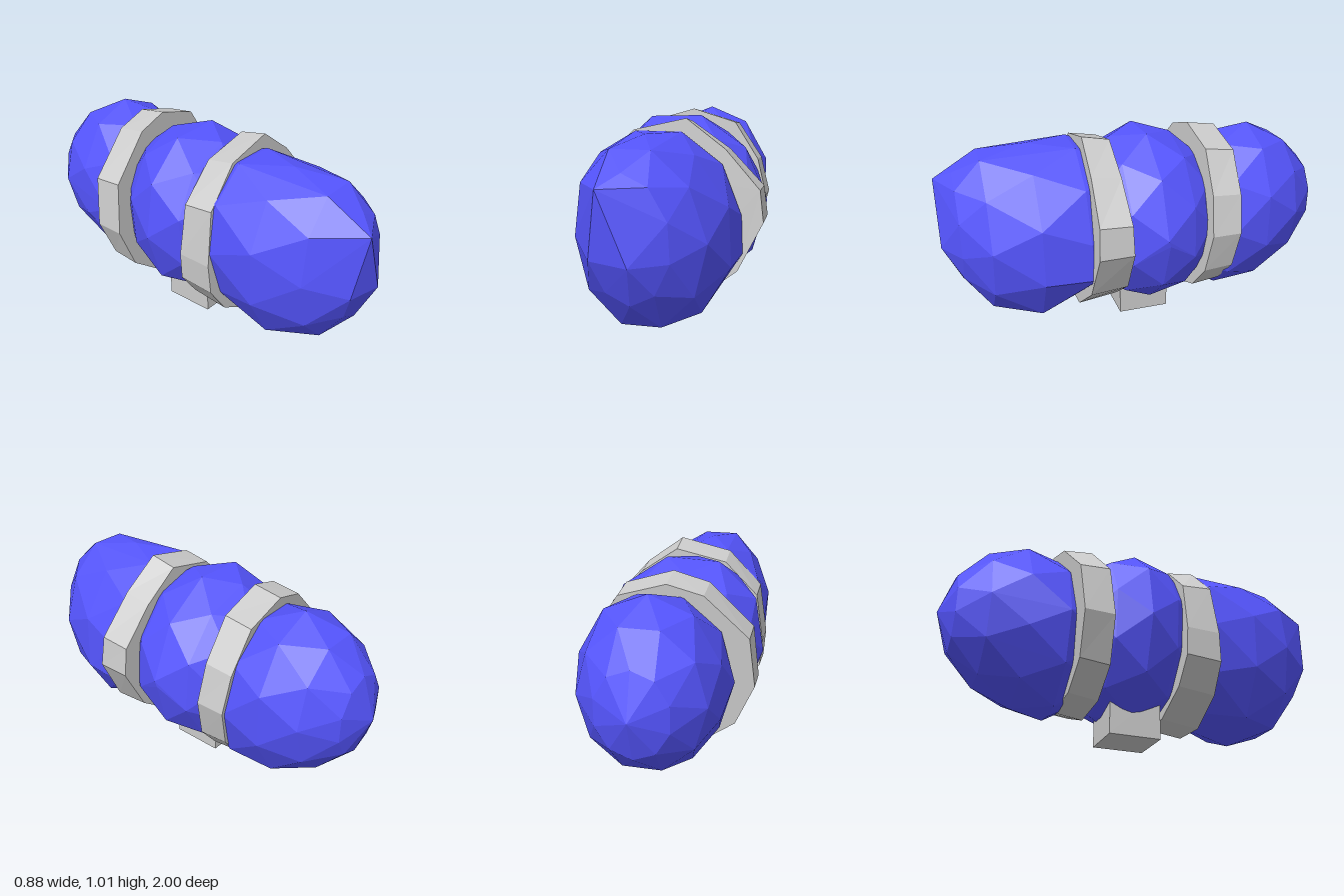
import * as THREE from 'three';
import { ConvexGeometry } from 'three/addons/geometries/ConvexGeometry.js';

const blue = new THREE.MeshStandardMaterial({ color: 0x5555ff, flatShading: true });
const grey = new THREE.MeshStandardMaterial({ color: 0xcccccc, flatShading: true });

// Faceted lobe: hull around staggered elliptical stations [z, cx, cy, rx, ry] plus single points;
// phase turns the stations (degrees), lean shifts the upper half sideways
function lobe(name, stations, singles, phase, lean) {
  const sides = 10;
  const points = singles.map((p) => new THREE.Vector3(...p));
  stations.forEach(([z, cx, cy, rx, ry], row) => {
    for (let i = 0; i < sides; i++) {
      const a = THREE.MathUtils.degToRad(phase) + ((i + (row % 2) / 2) / sides) * Math.PI * 2;
      const y = ry * 1.01 * Math.sin(a);
      points.push(new THREE.Vector3(cx + rx * 1.015 * Math.cos(a) + lean * Math.max(0, y), cy + y, z));
    }
  });
  const mesh = new THREE.Mesh(new ConvexGeometry(points), blue);
  mesh.name = name;
  return mesh;
}

// Irregular polygon band, leaned and slightly tapered towards the back
function band(name, outline, depth, z, leanY, leanX, taper) {
  const shape = new THREE.Shape(outline.map(([x, y]) => new THREE.Vector2(x, y)));
  const geo = new THREE.ExtrudeGeometry(shape, { depth, bevelEnabled: false });
  const pos = geo.attributes.position;
  for (let i = 0; i < pos.count; i++) {
    const x = pos.getX(i), y = pos.getY(i) - 0.55, front = pos.getZ(i) > depth / 2;
    pos.setY(i, 0.55 + y * (front ? 1 : taper));
    pos.setZ(i, z + pos.getZ(i) + (front ? leanY[1] : leanY[0]) * y + leanX * x);
  }
  geo.computeVertexNormals();
  const mesh = new THREE.Mesh(geo, grey);
  mesh.name = name;
  return mesh;
}

export function createModel() {
  const group = new THREE.Group();

  // Three overlapping lobes
  group.add(lobe('frontLobe', [
    [0.12, -0.02, 0.57, 0.28, 0.32],
    [0.32, -0.03, 0.56, 0.36, 0.405],
    [0.55, -0.025, 0.51, 0.365, 0.45],
    [0.78, -0.03, 0.54, 0.29, 0.405],
    [0.91, -0.04, 0.57, 0.18, 0.28],
  ], [[-0.15, 0.8, 1], [-0.02, 0.48, 1], [-0.2, 0.49, 0.96], [0.345, 0.37, 0.3]], 90, -0.1));

  group.add(lobe('middleLobe', [
    [-0.32, 0, 0.545, 0.28, 0.32],
    [-0.2, 0, 0.545, 0.375, 0.41],
    [-0.04, -0.01, 0.545, 0.42, 0.46],
    [0.12, -0.005, 0.545, 0.375, 0.41],
    [0.24, -0.01, 0.545, 0.28, 0.33],
  ], [[0.41, 0.53, -0.05], [0, 0.545, -0.42], [0, 0.545, 0.34]], 110, -0.1));

  group.add(lobe('backLobe', [
    [-0.2, 0.01, 0.52, 0.25, 0.29],
    [-0.42, 0.005, 0.515, 0.35, 0.415],
    [-0.61, 0.01, 0.55, 0.34, 0.43],
    [-0.79, 0, 0.56, 0.29, 0.345],
    [-0.93, 0, 0.56, 0.17, 0.205],
  ], [[0, 0.56, -1], [0, 0.1, -0.42]], 90, 0));

  // Two bands at the joints
  group.add(band('frontBand', [
    [0.06, 1.01], [-0.2, 0.95], [-0.37, 0.77], [-0.41, 0.5], [-0.4, 0.35], [-0.3, 0.21],
    [-0.1, 0.1], [0.1, 0.11], [0.32, 0.28], [0.44, 0.525], [0.42, 0.68], [0.25, 0.87],
  ], 0.17, 0.147, [0.01, -0.055], -0.015, 0.94));

  group.add(band('backBand', [
    [-0.03, 1], [-0.2, 0.95], [-0.41, 0.74], [-0.44, 0.48], [-0.35, 0.26], [-0.19, 0.14],
    [0.02, 0.11], [0.21, 0.18], [0.33, 0.32], [0.38, 0.53], [0.33, 0.73], [0.2, 0.93],
  ], 0.15, -0.415, [-0.065, -0.065], -0.06, 0.95));

  // Block under the middle lobe
  const foot = new THREE.Mesh(new THREE.BoxGeometry(0.24, 0.24, 0.265), grey);
  foot.position.set(-0.035, 0.12, -0.022);
  foot.name = 'foot';
  group.add(foot);

  return group;
}
